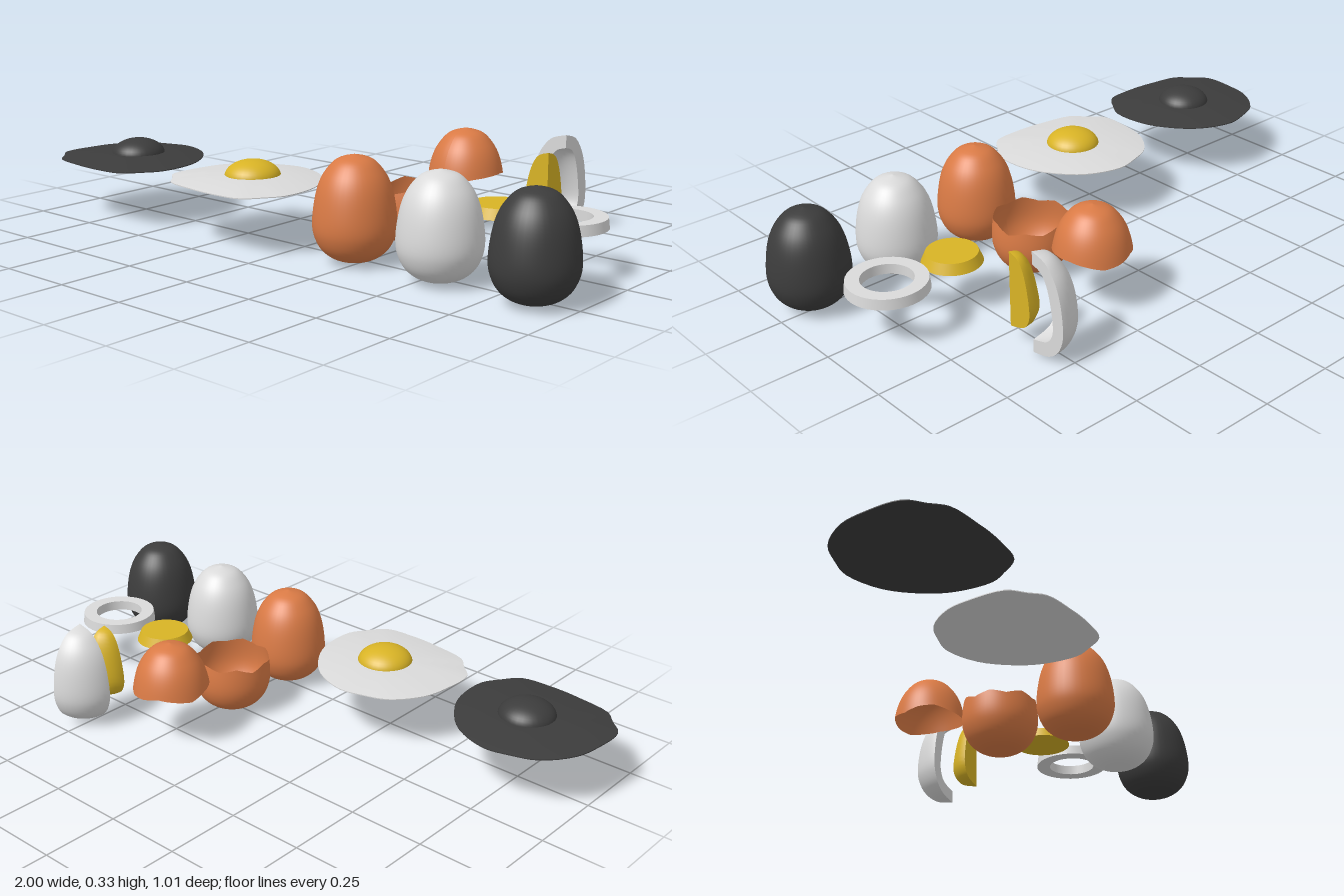
import * as THREE from 'three';

const mat = (name, color) => {
  const m = new THREE.MeshStandardMaterial({ color, side: THREE.DoubleSide });
  m.name = name;
  return m;
};
const V = (x, y) => new THREE.Vector2(x, y);

// Smooth half profile (radius, height), bottom to top
const profile = (pts, n) => new THREE.SplineCurve(pts.map(([r, y]) => V(r, y)))
  .getPoints(n).map(p => V(Math.max(0, p.x), p.y));

const EGG = profile([[0, 0.003], [0.06, 0.016], [0.1, 0.044], [0.122, 0.085], [0.128, 0.13],
  [0.121, 0.195], [0.107, 0.248], [0.085, 0.288], [0.052, 0.32], [0, 0.335]], 40);
const YOLK = profile([[0, 0.046], [0.055, 0.062], [0.078, 0.088], [0.085, 0.128],
  [0.074, 0.2], [0.057, 0.253], [0.034, 0.282], [0, 0.293]], 24);

// Egg radius at a given height
function eggRadius(y) {
  for (let i = 1; i < EGG.length; i++) {
    const a = EGG[i - 1], b = EGG[i];
    if (y <= b.y) return a.x + (b.x - a.x) * Math.max(0, (y - a.y) / (b.y - a.y));
  }
  return 0;
}

// Broken shell: stretched between a pole and a jagged rim
function shell(poleY, rimHeights, isTop) {
  const rows = 20, segs = rimHeights.length * 4;
  const pts = Array.from({ length: rows + 1 }, (_, i) => V(1, i / rows));
  const geo = new THREE.LatheGeometry(pts, segs);
  const p = geo.attributes.position;
  for (let i = 0; i < p.count; i++) {
    const seg = Math.floor(i / (rows + 1)) % segs, k = Math.floor(seg / 4);
    const rim = THREE.MathUtils.lerp(rimHeights[k], rimHeights[(k + 1) % rimHeights.length], (seg % 4) / 4);
    const t = isTop ? 1 - p.getY(i) : p.getY(i);
    const y = poleY + (rim - poleY) * t * t;
    const r = t === 0 ? 0 : eggRadius(y), a = seg / segs * Math.PI * 2;
    p.setXYZ(i, r * Math.sin(a), y, r * Math.cos(a));
  }
  geo.computeVertexNormals();
  return geo;
}

// Spread egg white: thin lens with an irregular outline and a flat underside
function puddle() {
  const outline = [[0, 0.225], [0.075, 0.226], [0.16, 0.214], [0.21, 0.155], [0.241, 0.1], [0.237, -0.02],
    [0.198, -0.107], [0.118, -0.193], [0, -0.236], [-0.08, -0.22], [-0.16, -0.187], [-0.23, -0.096],
    [-0.25, -0.005], [-0.249, 0.107], [-0.203, 0.155], [-0.16, 0.198], [-0.043, 0.22]];
  const segs = 68;
  const edge = new THREE.CatmullRomCurve3(outline.map(([x, z]) => new THREE.Vector3(x, 0, z)), true).getPoints(segs);
  const pts = [V(0, 0.193), V(1, 0.193), V(1, 0.193), V(1, 0.196), V(1, 0.196),
    V(0.85, 0.202), V(0.6, 0.209), V(0.35, 0.213), V(0, 0.215)];
  const geo = new THREE.LatheGeometry(pts, segs);
  const p = geo.attributes.position;
  for (let i = 0; i < p.count; i++) {
    const e = edge[Math.floor(i / pts.length)], t = pts[i % pts.length].x;
    p.setX(i, e.x * t);
    p.setZ(i, e.z * t);
  }
  geo.computeVertexNormals();
  return geo;
}

export function createModel() {
  const root = new THREE.Group();
  root.name = 'eggSet';
  const orange = mat('brownShell', 0xd97a45);
  const white = mat('eggWhite', 0xdadada);
  const yellow = mat('yolkYellow', 0xd8b325);
  const black = mat('charcoal', 0x3c3c3c);

  const add = (name, geo, material, x, z, y = 0) => {
    const m = new THREE.Mesh(geo, material);
    m.name = name;
    m.position.set(x, y, z);
    root.add(m);
    return m;
  };

  // Whole eggs
  const eggGeo = new THREE.LatheGeometry(EGG, 40);
  add('brownEgg', eggGeo, orange, 0.23, 0.278);
  add('whiteEgg', eggGeo, white, 0.55, 0.278);
  add('blackEgg', eggGeo, black, 0.871, 0.278);

  // Fried eggs
  const puddleGeo = puddle();
  const capGeo = new THREE.SphereGeometry(1, 32, 12, 0, Math.PI * 2, 0, Math.PI / 2);
  capGeo.scale(0.09, 0.054, 0.09);
  for (const [name, x, base, cap] of [['fried', -0.2, white, yellow], ['burnt', -0.75, black, black]]) {
    add(name + 'White', puddleGeo, base, x, 0.279);
    add(name + 'Yolk', capGeo, cap, x + 0.003, 0.278, 0.206);
  }

  // Broken shell halves
  add('shellBottom', shell(0.003, [0.18, 0.194, 0.183, 0.19, 0.172, 0.186, 0.178, 0.195, 0.182, 0.193,
    0.174, 0.188, 0.176, 0.192], false), orange, 0.23, -0.004);
  add('shellTop', shell(0.335, [0.172, 0.178, 0.187, 0.192, 0.194, 0.186, 0.175, 0.18, 0.192, 0.184,
    0.176, 0.19, 0.194, 0.18], true), orange, 0.23, -0.282);

  // Round slice: white ring and yolk disc
  const ring = [[0.08, 0.151], [0.127, 0.151], [0.123, 0.184], [0.08, 0.184], [0.08, 0.151]];
  const ringPts = ring.flatMap(([r, y], i) => i % 4 ? [V(r, y), V(r, y)] : [V(r, y)]);
  add('sliceRing', new THREE.LatheGeometry(ringPts, 40), white, 0.786, -0.008);
  add('sliceYolk', new THREE.CylinderGeometry(0.081, 0.095, 0.033, 40), yellow, 0.55, -0.008, 0.1675);

  // Quarter wedges: curved skin plus two flat cut faces
  const quarter = (pts, segs) => new THREE.LatheGeometry(pts, segs, Math.PI, Math.PI / 2);
  const cutFaces = (name, pts, material, x, z) => {
    add(name + 'CutFront', new THREE.ShapeGeometry(new THREE.Shape(pts.map(p => V(-p.x, p.y)))), material, x, z);
    add(name + 'CutSide', new THREE.ShapeGeometry(new THREE.Shape(pts)), material, x, z).rotation.y = Math.PI / 2;
  };
  add('quarterYolk', quarter(YOLK, 4), yellow, 0.55, -0.278);
  cutFaces('quarterYolk', YOLK, yellow, 0.55, -0.278);
  const inner = [...YOLK].reverse();
  add('quarterWhite', quarter(EGG, 10), white, 0.55, -0.379);
  add('quarterHollow', quarter(inner, 10), white, 0.55, -0.379);
  cutFaces('quarterWhite', [...EGG, ...inner], white, 0.55, -0.379);

  return root;
}
